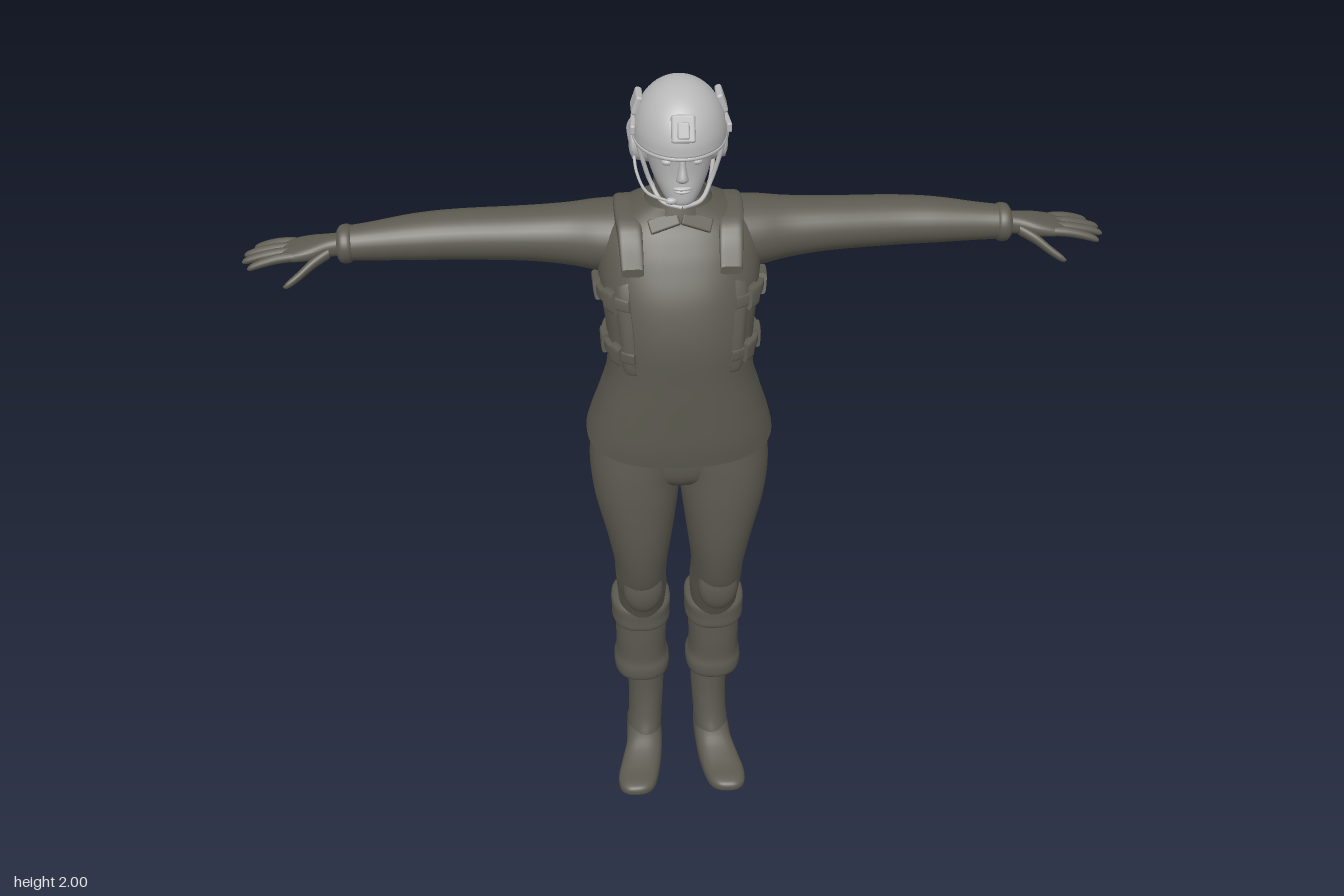
import * as THREE from 'three';
import { RoundedBoxGeometry } from 'three/addons/geometries/RoundedBoxGeometry.js';

const V = (x, y, z) => new THREE.Vector3(x, y, z);
const upright = (t, u, v) => [u, t, v];   // t = y, u = x, v = z
const sideways = (t, u, v) => [t, u, v];  // t = x, u = y, v = z
const forward = (t, u, v) => [u, v, t];   // t = z, u = x, v = y

// Catmull-Rom blend of all columns of a section table
function sample(secs, f) {
  const n = secs.length - 1, i = Math.min(Math.floor(f), n - 1), s = f - i;
  const at = k => secs[Math.max(0, Math.min(n, k))];
  return secs[0].map((_, c) => {
    const [a, b, d, e] = [at(i - 1)[c], at(i)[c], at(i + 1)[c], at(i + 2)[c]];
    return b + 0.5 * s * (d - a + s * (2 * a - 5 * b + 4 * d - e + s * (3 * (b - d) + e - a)));
  });
}

// Superellipse skin through sections [t, uMin, uMax, vMin, vMax], capped at both ends
function loft(secs, map, { segs = 32, steps = 4, pow = 2 } = {}) {
  const pos = [], idx = [], rings = (secs.length - 1) * steps;
  const curve = x => Math.sign(x) * Math.abs(x) ** (2 / pow);
  const ring = s => {
    for (let j = 0; j < segs; j++) {
      const a = j / segs * Math.PI * 2;
      pos.push(...map(s[0], (s[1] + s[2]) / 2 + (s[2] - s[1]) / 2 * curve(Math.cos(a)),
        (s[3] + s[4]) / 2 + (s[4] - s[3]) / 2 * curve(Math.sin(a))));
    }
  };
  for (let i = 0; i <= rings; i++) ring(sample(secs, i / steps));
  for (let i = 0; i < rings; i++) for (let j = 0; j < segs; j++) {
    const a = i * segs + j, b = i * segs + (j + 1) % segs;
    idx.push(a, a + segs, b, b, a + segs, b + segs);
  }
  for (const end of [0, 1]) {
    const s = secs[end * (secs.length - 1)], base = pos.length / 3;
    ring(s);
    pos.push(...map(s[0], (s[1] + s[2]) / 2, (s[3] + s[4]) / 2));
    for (let j = 0; j < segs; j++) {
      const a = base + j, b = base + (j + 1) % segs;
      idx.push(base + segs, end ? b : a, end ? a : b);
    }
  }
  // turn the faces outward whatever the handedness of the map
  let vol = 0;
  const p = k => V(pos[3 * k], pos[3 * k + 1], pos[3 * k + 2]);
  for (let i = 0; i < idx.length; i += 3) vol += p(idx[i]).dot(p(idx[i + 1]).cross(p(idx[i + 2])));
  if (vol < 0) idx.reverse();
  const g = new THREE.BufferGeometry();
  g.setAttribute('position', new THREE.Float32BufferAttribute(pos, 3));
  g.setIndex(idx);
  g.computeVertexNormals();
  return g;
}

function mirrored(geo) {
  const g = geo.clone(), p = g.attributes.position, n = g.attributes.normal;
  for (let i = 0; i < p.count; i++) { p.setX(i, -p.getX(i)); n.setX(i, -n.getX(i)); }
  if (!g.index) g.setIndex([...Array(p.count).keys()]);
  g.setIndex(Array.from(g.index.array).reverse());
  return g;
}

const tube = (pts, r, closed = false) =>
  new THREE.TubeGeometry(new THREE.CatmullRomCurve3(pts.map(q => V(...q)), closed), pts.length * 6, r, 8, closed);
const ball = (x, y, z, rx, ry, rz) => new THREE.SphereGeometry(1, 20, 14).scale(rx, ry, rz).translate(x, y, z);
const block = (w, h, d, x, y, z, r = 0.006) => new RoundedBoxGeometry(w, h, d, 2, r).translate(x, y, z);

// Jacket profile, [y, xMin, xMax, zBack, zFront]
const JACKET = [
  [1.10, -.222, .222, -.155, .153], [1.15, -.21, .21, -.14, .16], [1.22, -.19, .19, -.115, .163],
  [1.30, -.17, .17, -.1, .165], [1.40, -.17, .17, -.117, .165], [1.50, -.183, .183, -.155, .143],
  [1.58, -.186, .186, -.165, .108], [1.63, -.172, .172, -.155, .08], [1.67, -.13, .13, -.132, .055],
  [1.70, -.08, .08, -.09, .045]];
const JACKET_POW = 2.4;

// t = angle round the jacket, u = height, v = distance off the cloth
function onJacket(a, y, off) {
  let i = 0;
  while (i < JACKET.length - 2 && JACKET[i + 1][0] < y) i++;
  const s = sample(JACKET, i + (y - JACKET[i][0]) / (JACKET[i + 1][0] - JACKET[i][0]));
  const c = x => Math.sign(x) * Math.abs(x) ** (2 / JACKET_POW);
  return [(s[2] + off) * c(Math.cos(a)), y, (s[3] + s[4]) / 2 + ((s[4] - s[3]) / 2 + off) * c(Math.sin(a))];
}

export function createModel() {
  const model = new THREE.Group();
  model.name = 'helmetedFigure';
  const mat = (name, color) => Object.assign(new THREE.MeshStandardMaterial({ color }), { name });
  const cloth = mat('darkOliveGrey', 0x5c5a50), pale = mat('paleGrey', 0xb8b8b8);
  const add = (name, geo, m = cloth) => {
    const mesh = new THREE.Mesh(geo, m);
    mesh.name = name;
    model.add(mesh);
  };
  const pair = (name, geo, m) => {
    add('left' + name, geo, m);
    add('right' + name, mirrored(geo), m);
  };

  // Jacket with a hem that rises toward the back
  add('jacket', loft(JACKET, (y, x, z) => [x, y - 0.17 * z * THREE.MathUtils.clamp((1.3 - y) / 0.2, 0, 1), z],
    { segs: 56, steps: 6, pow: JACKET_POW }));
  add('neck', loft([[1.66, -.075, .075, -.085, .045], [1.70, -.066, .066, -.08, .036],
    [1.74, -.056, .056, -.078, .034], [1.79, -.053, .053, -.075, .04]], upright));
  add('collar', loft([[1.67, -.098, .098, -.105, .058], [1.69, -.082, .082, -.093, .052],
    [1.715, -.071, .071, -.085, .044]], upright));
  pair('CollarFlap', block(.07, .01, .035, 0, 0, 0, .004).rotateX(.75).rotateZ(-.35).translate(.037, 1.672, .052));

  // Vest straps, side panels and buckles
  pair('ShoulderStrap', loft([[.105, .085, .135, 1.565, 1.585], [.06, .085, .14, 1.625, 1.655],
    [0, .085, .145, 1.65, 1.68], [-.07, .085, .145, 1.652, 1.682], [-.13, .085, .14, 1.625, 1.655]],
  forward, { pow: 4 }));
  for (const y of [1.375, 1.5]) {
    pair('SideStrap', loft([[.95, y - .014, y + .014, -.01, .008], [.5, y - .014, y + .014, -.01, .012],
      [-.1, y - .013, y + .013, -.01, .012], [-.55, y - .012, y + .012, -.01, .006]], onJacket, { pow: 5 }));
    for (const a of [.62, .12]) pair('StrapBuckle', loft([[a - .11, y - .023, y + .023, -.01, .016],
      [a + .11, y - .023, y + .023, -.01, .018]], onJacket, { pow: 5 }));
  }
  pair('VestSideEdge', loft([[.68, 1.34, 1.53, -.01, .004], [.8, 1.33, 1.54, -.01, .008],
    [.95, 1.33, 1.55, -.01, .003]], onJacket, { pow: 5 }));

  // Sleeves and cuffs
  pair('Sleeve', loft([[.09, 1.5, 1.675, -.15, .05], [.18, 1.508, 1.668, -.15, .032],
    [.25, 1.52, 1.66, -.14, .012], [.35, 1.53, 1.652, -.14, -.002], [.5, 1.53, 1.642, -.15, -.02],
    [.6, 1.532, 1.635, -.143, -.025], [.7, 1.537, 1.623, -.123, -.03], [.765, 1.54, 1.617, -.112, -.03]], sideways));
  pair('Cuff', loft([[.735, 1.545, 1.612, -.11, -.035], [.745, 1.535, 1.622, -.118, -.026],
    [.763, 1.535, 1.621, -.116, -.026], [.772, 1.545, 1.61, -.108, -.034]], sideways));

  // Hands
  pair('Palm', loft([[.75, 1.555, 1.603, -.098, -.045], [.79, 1.553, 1.6, -.1, -.04],
    [.83, 1.55, 1.593, -.112, -.028], [.87, 1.55, 1.583, -.116, -.026], [.895, 1.555, 1.574, -.11, -.03]],
  sideways, { pow: 2.5 }));
  [[-.104, -.122, .968], [-.083, -.09, .988], [-.061, -.059, .99], [-.038, -.026, .975]].forEach(([z0, z1, tip]) => {
    const sec = (f, r) => {
      const x = .87 + (tip - .87) * f, y = 1.568 - .022 * f * f, z = z0 + (z1 - z0) * f;
      return [x, y - r, y + r, z - r, z + r];
    };
    pair('Finger', loft([sec(0, .012), sec(.35, .0115), sec(.7, .01), sec(.93, .0075), sec(1, .002)],
      sideways, { segs: 12, steps: 3 }));
  });
  pair('Thumb', loft([[.79, 1.555, 1.585, -.065, -.035], [.825, 1.54, 1.568, -.047, -.017],
    [.86, 1.52, 1.543, -.023, .001], [.885, 1.509, 1.526, -.007, .01], [.895, 1.511, 1.516, .002, .006]],
  sideways, { segs: 14 }));

  // Trousers
  add('trouserSeat', loft([[.955, -.03, .03, -.05, .04], [.975, -.11, .11, -.1, .085],
    [1.02, -.18, .18, -.13, .112], [1.12, -.19, .19, -.13, .115]], upright));
  pair('TrouserLeg', loft([[1.13, -.01, .2, -.14, .12], [1.06, -.01, .213, -.152, .125],
    [1.0, -.002, .216, -.14, .128], [.92, .003, .207, -.115, .128], [.8, .018, .18, -.11, .12],
    [.7, .03, .163, -.12, .1], [.64, .032, .16, -.125, .078], [.58, .03, .156, -.133, .045],
    [.48, .038, .148, -.14, .0]], upright, { pow: 2.2 }));
  pair('KneePatch', ball(.094, .64, .052, .05, .075, .034));

  // Gaiters with a top strap and gathered bottom
  pair('Gaiter', loft([[.275, .04, .142, -.142, -.02], [.285, .025, .162, -.16, -.002],
    [.315, .022, .166, -.163, .002], [.345, .03, .16, -.156, -.002], [.4, .03, .16, -.155, .002],
    [.45, .028, .16, -.155, .004], [.51, .03, .16, -.155, .006]], upright, { pow: 2.4 }));
  pair('GaiterStrap', loft([[.455, .032, .156, -.15, 0], [.465, .02, .169, -.163, .011],
    [.49, .02, .17, -.164, .012], [.52, .019, .17, -.165, .012], [.532, .035, .155, -.15, 0]],
  upright, { pow: 2.4 }));

  // Boots
  pair('BootShaft', loft([[.32, .035, .138, -.145, -.012], [.22, .037, .13, -.14, -.015],
    [.14, .042, .13, -.136, -.004], [.09, .045, .134, -.136, .015], [.04, .048, .135, -.135, .02]], upright));
  pair('BootFoot', loft([[-.142, .065, .115, .02, .07], [-.125, .048, .132, .006, .1],
    [-.06, .044, .137, .008, .115], [.0, .046, .141, .012, .105], [.05, .052, .155, .006, .082],
    [.1, .062, .167, .005, .066], [.14, .074, .164, .015, .06], [.16, .092, .15, .026, .054],
    [.166, .11, .135, .036, .046]], forward, { pow: 2.6 }));
  pair('BootHeel', block(.082, .025, .08, .09, .0125, -.098));

  // Head and face
  add('head', loft([[1.733, -.02, .02, .055, .095], [1.745, -.036, .036, .01, .106],
    [1.775, -.055, .055, -.05, .107], [1.81, -.069, .069, -.08, .105], [1.85, -.077, .077, -.095, .108],
    [1.9, -.08, .08, -.095, .115], [1.95, -.06, .06, -.06, .09]], upright, { pow: 2.2 }), pale);
  add('nose', loft([[1.797, -.008, .008, .09, .112], [1.803, -.014, .014, .09, .122],
    [1.812, -.012, .012, .09, .126], [1.835, -.008, .008, .09, .117], [1.86, -.008, .008, .09, .111]],
  upright, { segs: 16 }), pale);
  add('upperLip', ball(0, 1.782, .104, .021, .005, .009), pale);
  add('lowerLip', ball(0, 1.774, .103, .018, .005, .009), pale);
  pair('Eye', ball(.031, 1.842, .094, .014, .008, .01), pale);
  pair('Eyebrow', tube([[.012, 1.858, .107], [.032, 1.864, .102], [.052, 1.858, .088]], .004), pale);

  // Helmet: a dome whose rim drops behind the ears
  const drop = z => .008 + .08 * (1 - THREE.MathUtils.smoothstep(z, -.09, -.01));
  const shell = (t, r) => [t, -.102 * r, .102 * r, .02 - .13 * r, .02 + .13 * r];
  const dome = [.25, .5, .7, .85, .95, .99, 1].map(t => shell(t, Math.max(.01, (1 - t ** 2.1) ** .5)));
  add('helmet', loft([shell(-1, .96), shell(-.5, .99), shell(0, 1), ...dome],
    (t, x, z) => [x, 1.88 + (t < 0 ? t * drop(z) : .12 * t), z], { segs: 48 }), pale);
  add('helmetRim', tube(Array.from({ length: 32 }, (_, i) => {
    const a = i / 16 * Math.PI, z = .02 + .126 * Math.sin(a);
    return [.099 * Math.cos(a), 1.88 - drop(z), z];
  }), .005, true), pale);
  add('frontMount', block(.052, .06, .016, 0, 0, 0).rotateX(-.42).translate(0, 1.937, .133), pale);
  add('frontMountSlot', block(.026, .036, .012, 0, 0, 0, .004).rotateX(-.42).translate(0, 1.937, .142), pale);
  pair('HelmetRail', block(.012, .022, .11, 0, 0, 0, .004).rotateY(.08).translate(.1, 1.905, .015), pale);
  pair('RailClamp', block(.016, .045, .06, 0, 0, 0).rotateZ(.32).translate(.092, 1.94, -.005), pale);

  // Headset and chin straps
  pair('EarCup', new THREE.CylinderGeometry(.031, .037, .036, 24).rotateZ(-Math.PI / 2)
    .scale(1, 1.25, 1).translate(.085, 1.835, -.022), pale);
  pair('EarCupCover', ball(.102, 1.835, -.022, .008, .034, .026), pale);
  pair('EarCupArm', tube([[.1, 1.9, -.01], [.109, 1.875, -.018], [.106, 1.84, -.022]], .005), pale);
  pair('FrontChinStrap', tube([[.094, 1.875, .06], [.083, 1.83, .058], [.065, 1.775, .06],
    [.042, 1.742, .085], [0, 1.735, .104]], .005), pale);
  pair('RearChinStrap', tube([[.085, 1.81, -.065], [.078, 1.785, -.03], [.068, 1.77, .03],
    [.06, 1.768, .062]], .005), pale);
  add('microphoneBoom', tube([[-.1, 1.82, -.01], [-.095, 1.79, .04], [-.075, 1.772, .1], [-.035, 1.768, .132]], .0035), pale);
  add('microphone', ball(-.026, 1.768, .134, .013, .008, .008), pale);

  return model;
}
